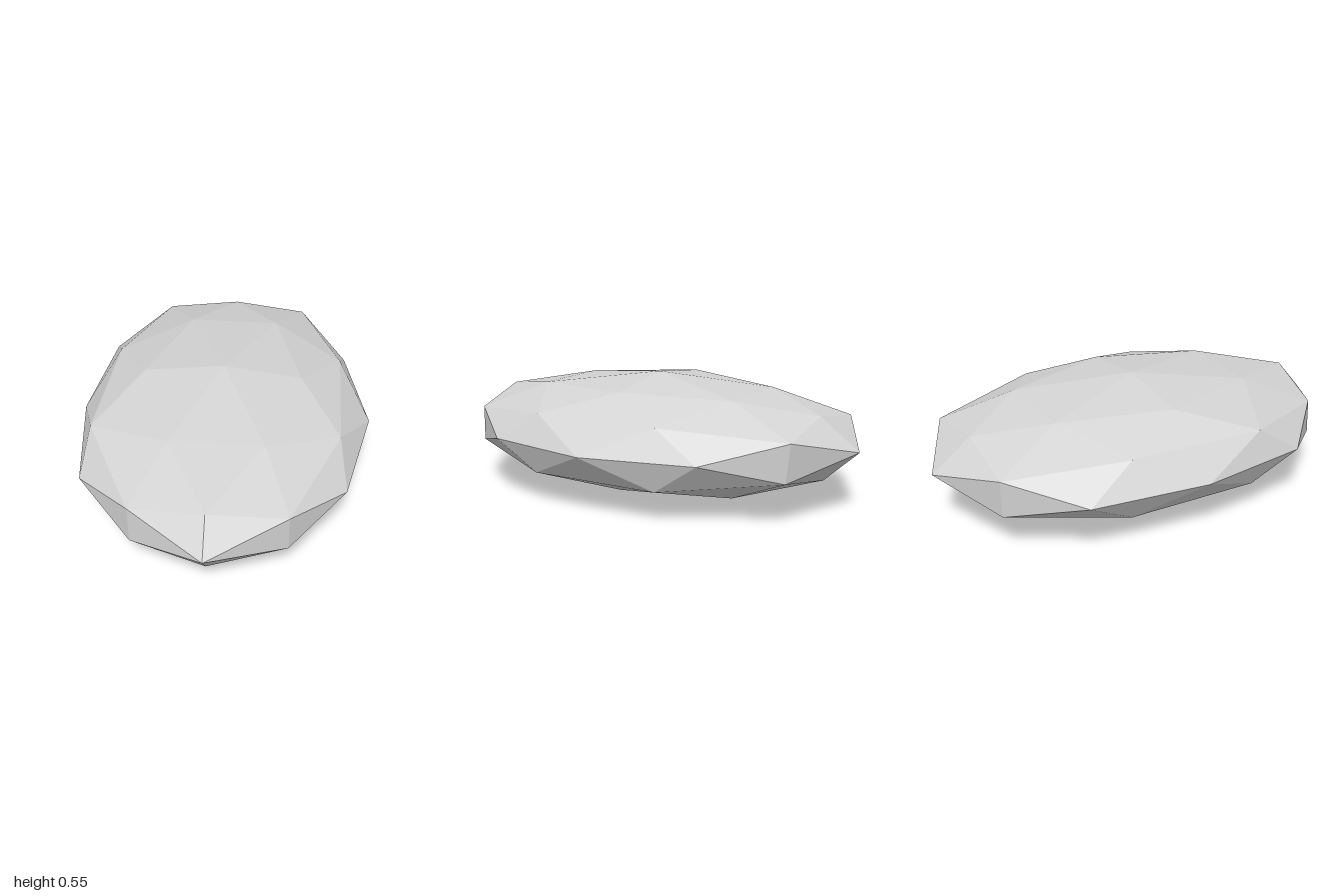
import * as THREE from 'three';

// Small chips that make the stone uneven: a corner direction
// (rounded to tenths) and the offset applied to it.
const NUDGES = [
  { at: [-0.9, 0, 0.5], by: [-0.026, 0, 0.005] },
  { at: [-0.9, 0, -0.5], by: [-0.036, 0, -0.014] },
  { at: [0.9, 0, 0.5], by: [-0.008, 0, -0.005] },
  { at: [0.9, 0, -0.5], by: [-0.012, 0, 0.013] },
  { at: [0, 0.5, 0.9], by: [0, 0.002, 0.024] },
  { at: [0, -0.5, 0.9], by: [0, 0, 0.024] },
  { at: [0, 0.5, -0.9], by: [0, -0.004, 0.033] },
  { at: [0, -0.5, -0.9], by: [0, 0, 0.011] },
  { at: [-0.5, 0.3, -0.8], by: [-0.025, 0.003, -0.02] },
  { at: [-0.5, -0.3, -0.8], by: [-0.018, 0, -0.012] },
  { at: [0.5, 0.3, -0.8], by: [0, 0.004, -0.02] },
  { at: [0.5, 0.3, 0.8], by: [-0.01, -0.003, -0.008] },
  { at: [0.5, -0.3, 0.8], by: [-0.01, 0.003, -0.008] },
  { at: [-0.5, 0.3, 0.8], by: [-0.005, -0.003, -0.012] },
  { at: [-0.5, 0.9, 0], by: [-0.022, -0.003, 0] },
  { at: [-0.5, -0.9, 0], by: [-0.017, 0.006, 0] },
  { at: [0.5, 0.9, 0], by: [-0.008, -0.007, 0] },
  { at: [0.5, -0.9, 0], by: [-0.018, 0.01, 0] },
  { at: [-0.8, 0.5, 0.3], by: [-0.033, 0, 0.018] },
  { at: [-0.8, -0.5, 0.3], by: [-0.014, 0.003, 0] },
  { at: [0.8, 0.5, 0.3], by: [-0.014, -0.005, 0] },
  { at: [0.8, 0.5, -0.3], by: [-0.014, -0.005, 0.01] },
  { at: [0.8, -0.5, 0.3], by: [0.008, 0.003, 0] },
  { at: [0.8, -0.5, -0.3], by: [0.008, 0, 0] },
];

const close = (a, b) => Math.abs(a - b) < 0.08;

export function createModel() {
  const stoneGrey = new THREE.MeshStandardMaterial({ color: 0xd4d4d4, flatShading: true });
  stoneGrey.name = 'stoneGrey';

  // Once-subdivided icosahedron flattened into a long pebble
  const geometry = new THREE.IcosahedronGeometry(1, 1);
  const pos = geometry.attributes.position;
  const dir = new THREE.Vector3();
  for (let i = 0; i < pos.count; i++) {
    dir.fromBufferAttribute(pos, i);
    const p = new THREE.Vector3(dir.x * 0.682, dir.y * 0.276 + 0.276, dir.z);
    if (close(dir.x, 0)) p.x -= 0.01;
    // The four corners around the crown sit a little lower
    if (close(Math.abs(dir.x), 0.31) && close(dir.y, 0.81)) p.y -= 0.011;
    const nudge = NUDGES.find(({ at }) => close(at[0], dir.x) && close(at[1], dir.y) && close(at[2], dir.z));
    if (nudge) p.add(new THREE.Vector3(...nudge.by));
    pos.setXYZ(i, p.x, p.y, p.z);
  }
  geometry.computeVertexNormals();

  const stone = new THREE.Mesh(geometry, stoneGrey);
  stone.name = 'stone';
  const group = new THREE.Group();
  group.name = 'flatStone';
  group.add(stone);
  return group;
}
